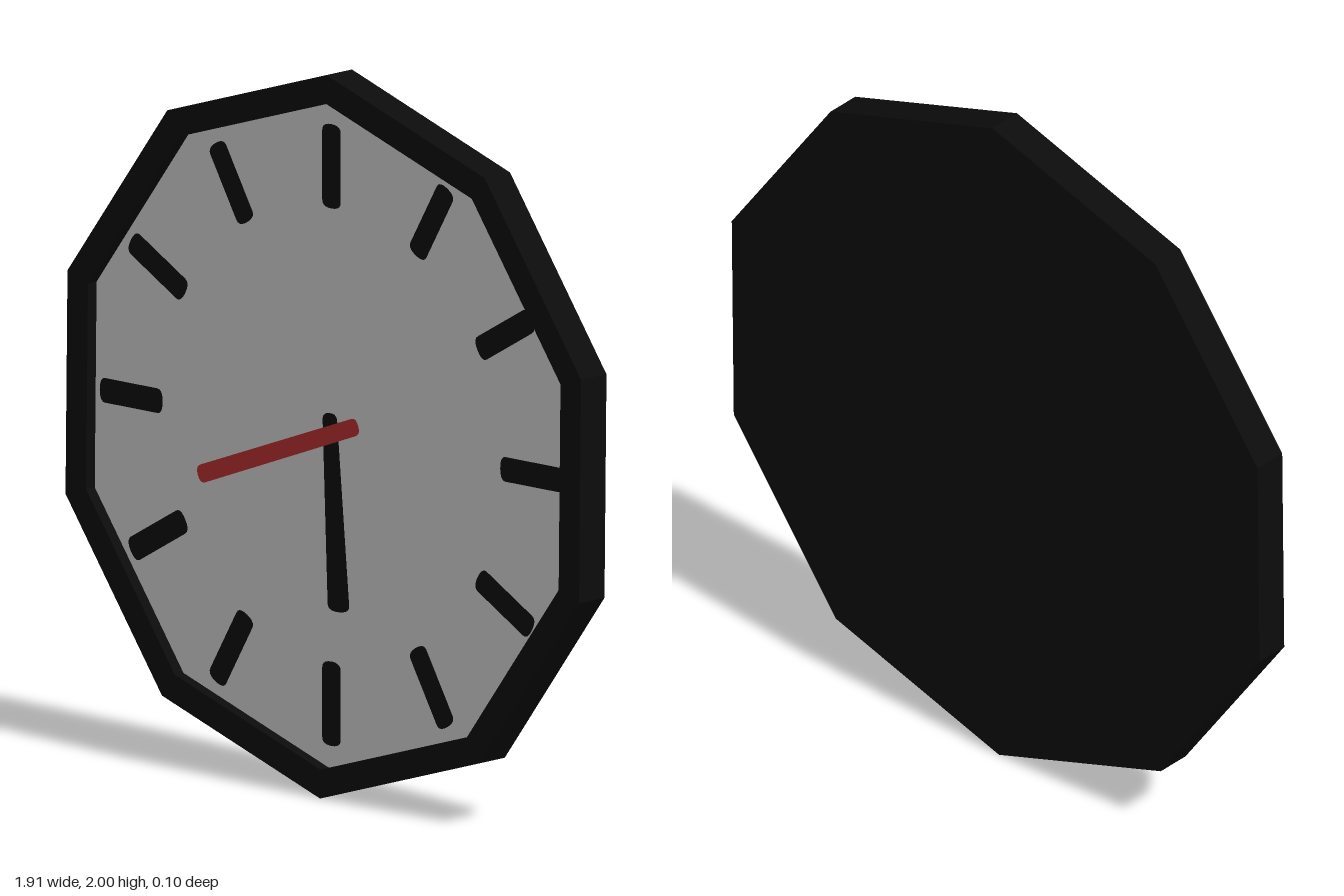
import * as THREE from 'three';

const SIDES = 10, TILT = 0.012, FACE_Z = 0.016;

export function createModel() {
  const clock = new THREE.Group();
  clock.name = 'wallClock';
  const black = new THREE.MeshStandardMaterial({ name: 'black', color: 0x0c0c0c, flatShading: true });
  const grey = new THREE.MeshStandardMaterial({ name: 'dialGrey', color: 0xc6c6c6 });
  const red = new THREE.MeshStandardMaterial({ name: 'handRed', color: 0xb02d30 });

  const add = (name, geometry, material, z = 0) => {
    const mesh = new THREE.Mesh(geometry, material);
    mesh.name = name;
    mesh.position.set(0, 1, z);
    clock.add(mesh);
    return mesh;
  };

  // Flat stroke with rounded ends between two points, optionally tapered
  const stroke = (x0, y0, x1, y1, w0, w1 = w0) => {
    const length = Math.hypot(x1 - x0, y1 - y0);
    const shape = new THREE.Shape();
    const r = 0.02; // corner rounding
    shape.moveTo(r, -w0);
    shape.lineTo(length - r, -w1);
    shape.quadraticCurveTo(length, -w1, length, 0);
    shape.quadraticCurveTo(length, w1, length - r, w1);
    shape.lineTo(r, w0);
    shape.quadraticCurveTo(0, w0, 0, 0);
    shape.quadraticCurveTo(0, -w0, r, -w0);
    return new THREE.ShapeGeometry(shape, 5)
      .rotateZ(Math.atan2(y1 - y0, x1 - x0))
      .translate(x0, y0, 0);
  };

  // Ten-sided case: closed back, outer wall, rim and inner wall
  const profile = [[0, -0.05], [1, -0.05], [1, 0.05], [0.92, 0.05], [0.92, FACE_Z - 0.004]]
    .map(([r, y]) => new THREE.Vector2(r, y));
  add('case', new THREE.LatheGeometry(profile, SIDES, -TILT).rotateX(Math.PI / 2), black);

  // Recessed dial
  add('dial', new THREE.CircleGeometry(0.92, SIDES, Math.PI / 2 - TILT), grey, FACE_Z);

  // Twelve hour marks
  for (let i = 0; i < 12; i++) {
    const a = (i * Math.PI) / 6, s = Math.sin(a), c = Math.cos(a);
    add('hourMark', stroke(0.625 * s, 0.625 * c, 0.858 * s, 0.858 * c, 0.034), black, FACE_Z + 0.002);
  }

  // Hands
  add('blackHand', stroke(-0.006, 0.06, 0.028, -0.485, 0.027, 0.04), black, FACE_Z + 0.003);
  add('redHand', stroke(-0.492, -0.182, 0.102, 0.04, 0.025, 0.024), red, FACE_Z + 0.005);

  return clock;
}
